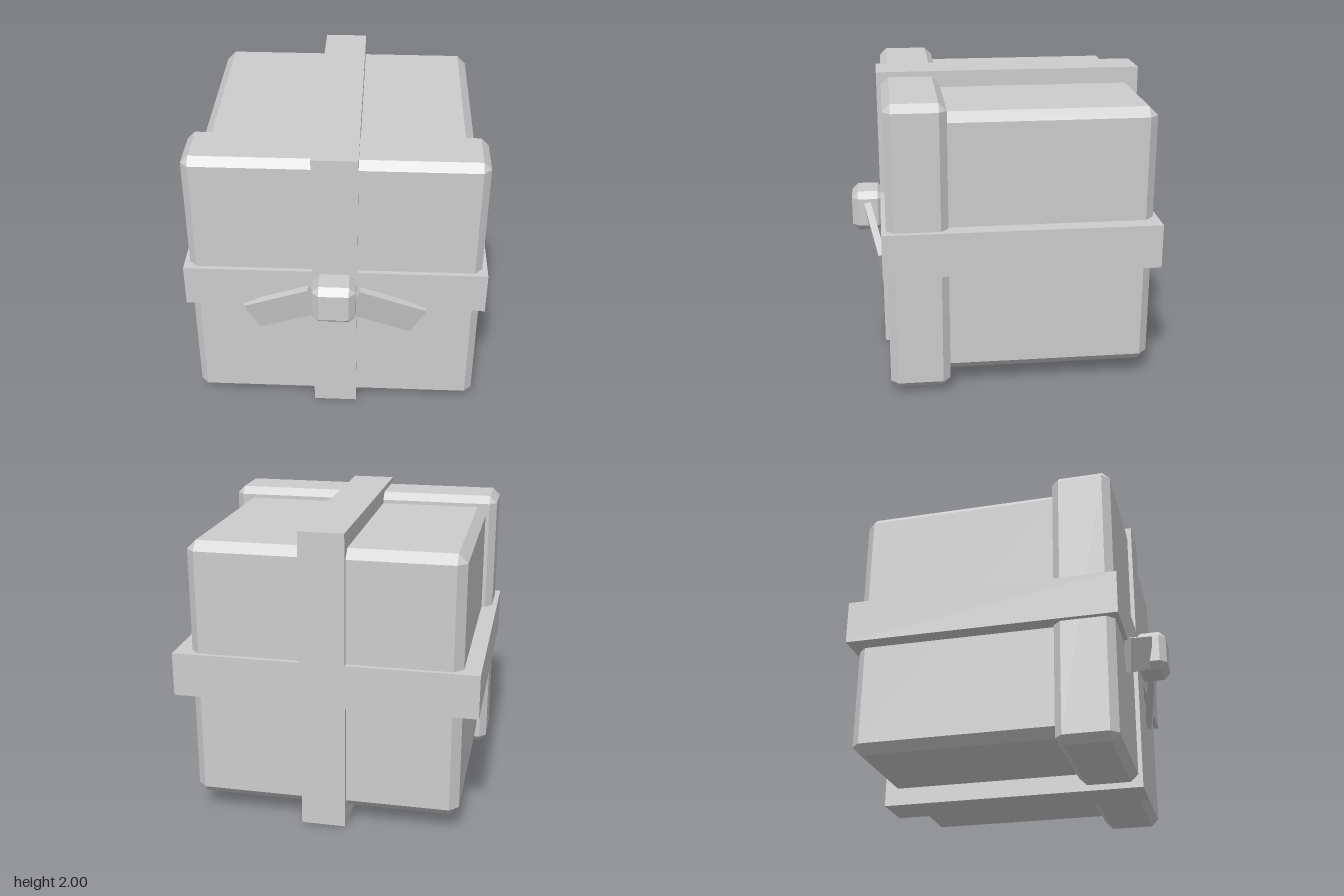
import * as THREE from 'three';
import { ConvexGeometry } from 'three/addons/geometries/ConvexGeometry.js';

const grey = new THREE.MeshStandardMaterial({ color: 0xcccccc });
grey.name = 'plain grey';

// Box between two corners, with every edge cut by a flat bevel
function bevelledBox(min, max, bevel) {
  const half = max.map((v, i) => (v - min[i]) / 2);
  const mid = max.map((v, i) => (v + min[i]) / 2);
  const points = [];
  for (const sx of [-1, 1]) for (const sy of [-1, 1]) for (const sz of [-1, 1]) {
    const s = [sx, sy, sz];
    for (let axis = 0; axis < 3; axis++) {
      const p = s.map((sign, i) => mid[i] + sign * (half[i] - (i === axis ? 0 : bevel)));
      points.push(new THREE.Vector3(...p));
    }
  }
  return new ConvexGeometry(points);
}

function plainBox(min, max) {
  const g = new THREE.BoxGeometry(...max.map((v, i) => v - min[i]));
  return g.translate(...max.map((v, i) => (v + min[i]) / 2));
}

// Slanted ribbon end, placed by three corners of its front face
function tailGeometry(side) {
  const inner = new THREE.Vector3(0.17 * side, 1.08, 0.915);
  const outer = new THREE.Vector3(0.61 * side, 0.86, 0.825);
  const lower = new THREE.Vector3(0.51 * side, 0.66, 0.8);
  const thickness = 0.047;
  const along = outer.clone().sub(inner);
  const down = lower.clone().sub(outer);
  const normal = down.clone().cross(along).normalize();
  if (normal.z < 0) normal.negate();
  const centre = inner.clone().add(lower).multiplyScalar(0.5).addScaledVector(normal, -thickness / 2);
  const length = along.length(), width = down.length();
  const x = along.normalize();
  const y = normal.clone().cross(x);
  const place = new THREE.Matrix4().makeBasis(x, y, normal).setPosition(centre);
  return new THREE.BoxGeometry(length, width, thickness).applyMatrix4(place);
}

export function createModel() {
  const model = new THREE.Group();
  model.name = 'giftBox';
  const add = (name, geometry) => {
    const mesh = new THREE.Mesh(geometry, grey);
    mesh.name = name;
    model.add(mesh);
  };

  // Box and its wider lid, which faces the front
  add('boxBody', bevelledBox([-0.89, 0.12, -0.97], [0.89, 1.89, 0.45], 0.06));
  add('lid', bevelledBox([-0.965, 0.04, 0.375], [0.965, 1.965, 0.77], 0.05));

  // Crossing ribbons
  add('verticalRibbon', plainBox([-0.147, 0, -1], [0.147, 2, 0.8]));
  add('horizontalRibbon', plainBox([-1, 0.855, -1], [1, 1.147, 0.8]));

  // Bow
  add('knot', bevelledBox([-0.143, 0.86, 0.775], [0.143, 1.145, 1], 0.045));
  add('leftTail', tailGeometry(1));
  add('rightTail', tailGeometry(-1));
  return model;
}
